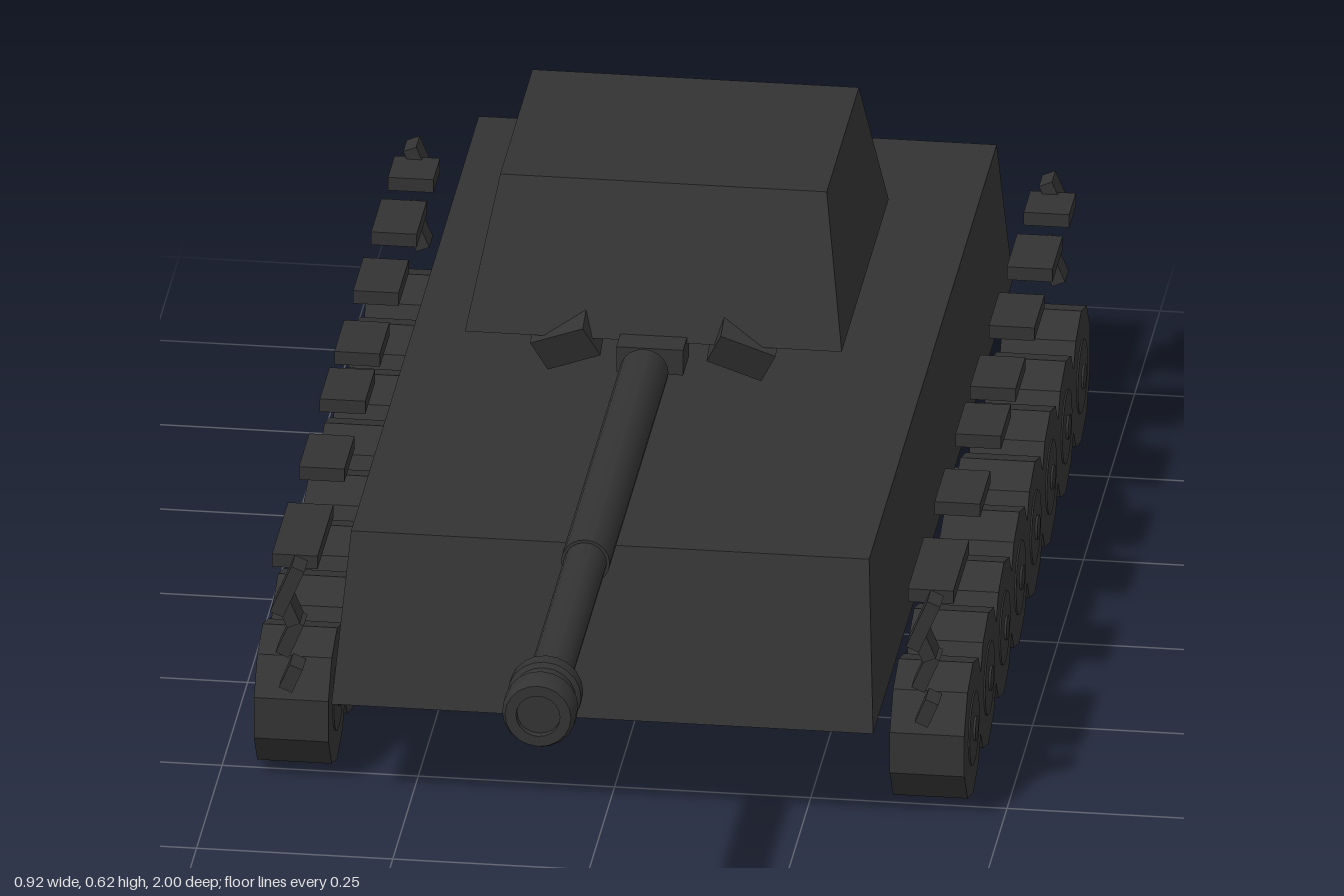
import * as THREE from 'three';
import { toCreasedNormals } from 'three/addons/utils/BufferGeometryUtils.js';

export function createModel() {
  const model = new THREE.Group();
  const darkGrey = new THREE.MeshStandardMaterial({ color: 0x333333 });
  darkGrey.name = 'darkGrey';

  function add(name, geometry, x = 0, y = 0, z = 0, parent = model) {
    const mesh = new THREE.Mesh(toCreasedNormals(geometry, 0.5), darkGrey);
    mesh.name = name;
    mesh.position.set(x, y, z);
    parent.add(mesh);
    return mesh;
  }

  // Box whose top and bottom rectangles differ: [halfWidth, y, zBack, zFront]
  function taperedBox(bottom, top) {
    const geometry = new THREE.BoxGeometry(2, 2, 2);
    const p = geometry.attributes.position;
    for (let i = 0; i < p.count; i++) {
      const [w, y, zBack, zFront] = p.getY(i) > 0 ? top : bottom;
      p.setXYZ(i, p.getX(i) * w, y, p.getZ(i) > 0 ? zFront : zBack);
    }
    return geometry;
  }

  // Hull, engine hatch and turret
  add('hull', taperedBox([0.345, 0.15, -1, 0.37], [0.33, 0.357, -0.957, 0.293]));
  add('engineHatch', new THREE.BoxGeometry(0.308, 0.036, 0.21), 0, 0.395, -0.795);
  add('turret', taperedBox([0.24, 0.445, -0.59, -0.13], [0.208, 0.62, -0.545, -0.23]));

  // Mantlet block and the two angled cheeks under the turret front
  add('mantlet', new THREE.BoxGeometry(0.085, 0.035, 0.06), 0, 0.434, -0.125);
  for (const side of [-1, 1]) {
    const cheek = add('turretCheek', new THREE.BoxGeometry(0.075, 0.05, 0.05), side * 0.112, 0.437, -0.152);
    cheek.rotation.set(0.35, 0, -side * 0.42);
  }

  // Gun, turned around its long axis: pairs of radius and z
  const gunProfile = [
    [0, -0.04], [0.031, -0.04], [0.031, 0.535], [0.027, 0.535], [0.027, 0.912],
    [0.042, 0.912], [0.047, 0.918], [0.047, 0.938], [0.041, 0.942], [0.041, 0.962],
    [0.047, 0.966], [0.047, 0.99], [0.042, 1], [0.028, 1], [0.028, 0.99], [0, 0.99],
  ].map(([r, z]) => new THREE.Vector2(r, z));
  add('gunBarrel', new THREE.LatheGeometry(gunProfile, 20).rotateX(Math.PI / 2), 0, 0.445, 0);

  // Ten-sided discs lying across the model, with a corner facing forward
  const disc = (radius, width, sides) =>
    new THREE.CylinderGeometry(radius, radius, width, sides).rotateZ(Math.PI / 2).rotateX(Math.PI / 2);

  // Upper links: [z, length]
  const upperLinks = [[0.19, 0.155], [-0.045, 0.1], [-0.247, 0.095], [-0.39, 0.095],
    [-0.576, 0.1], [-0.753, 0.1], [-0.9, 0.065]];
  // Upright end links: [y, z, height, roll]
  const endLinks = [[0.29, 0.325, 0.07, -0.4], [0.255, 0.315, 0.035, 0.4], [0.213, 0.3, 0.05, -0.4],
    [0.153, 0.29, 0.035, -0.4], [0.3, -0.942, 0.045, 0.4], [0.217, -0.922, 0.055, 0.4]];

  for (const side of [-1, 1]) {
    const track = new THREE.Group();
    track.name = side > 0 ? 'leftTrack' : 'rightTrack';
    track.position.x = side * 0.405;
    model.add(track);

    // Road wheels
    for (let i = 0; i < 8; i++) {
      const z = 0.217 - i * 0.1515;
      add('wheel', disc(0.091, 0.095, 10), 0, 0.094, z, track);
      add('wheelPlate', disc(0.048, 0.099, 20), 0, 0.094, z, track);
      add('wheelHub', disc(0.016, 0.105, 12), 0, 0.094, z, track);
    }
    // Loose track links above, below and at both ends
    for (const [z, length] of upperLinks) {
      add('upperLink', new THREE.BoxGeometry(0.058, 0.018, length), 0, 0.298, z, track);
    }
    for (let i = 0; i < 7; i++) {
      add('lowerLink', new THREE.BoxGeometry(0.058, 0.014, 0.08), 0, 0.007, 0.123 - i * 0.1437, track);
    }
    for (const [y, z, height, roll] of endLinks) {
      const link = add('endLink', new THREE.BoxGeometry(0.018, height, 0.035), 0, y, z, track);
      link.rotation.z = roll;
    }
  }
  return model;
}
